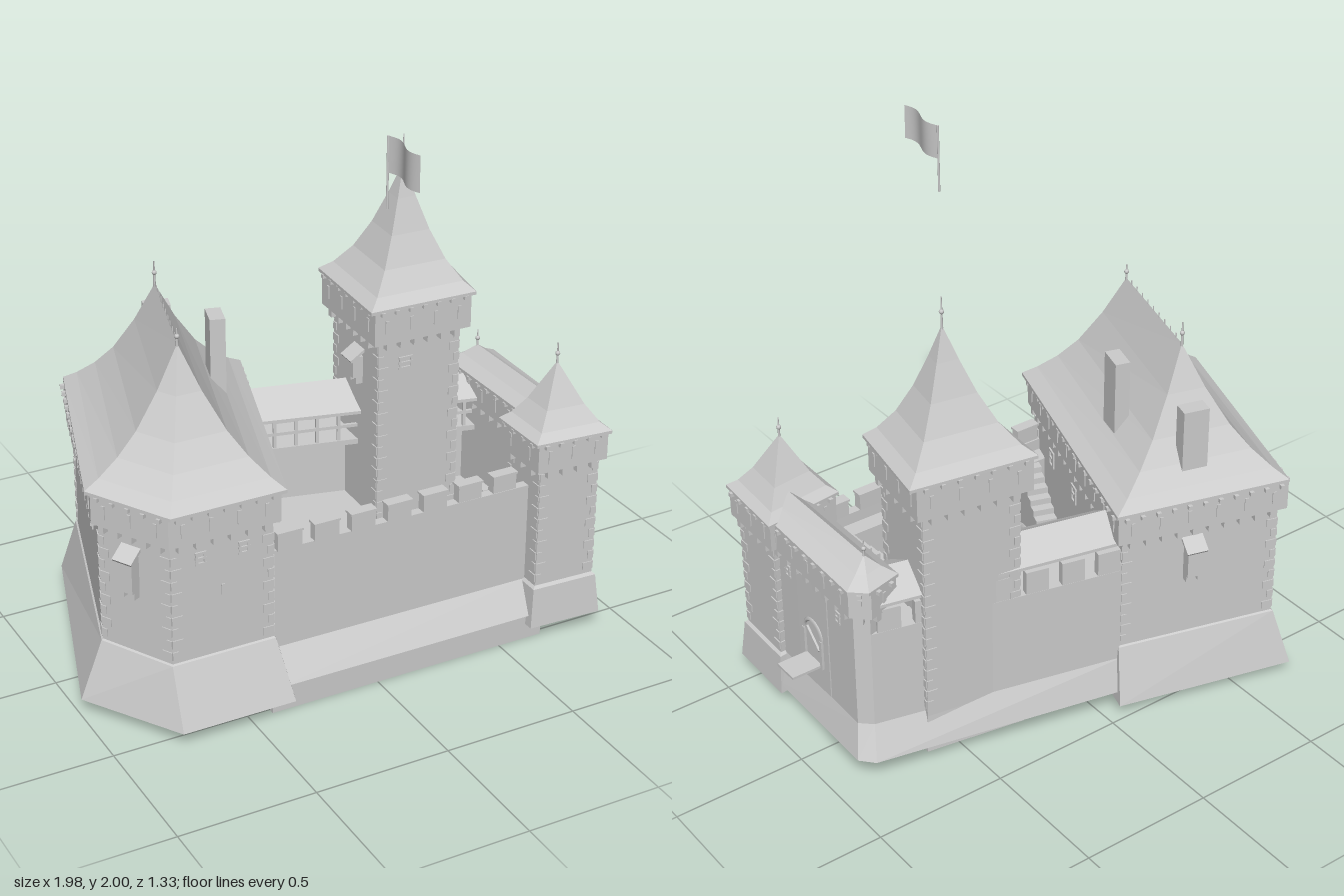
import * as THREE from 'three';

const stone = new THREE.MeshStandardMaterial({ color: 0xcccccc, side: THREE.DoubleSide });
stone.name = 'pale grey stone';

export function createModel() {
  const root = new THREE.Group();
  root.name = 'castle';
  let parent = root;
  const group = (name) => {
    parent = new THREE.Group();
    parent.name = name;
    root.add(parent);
  };
  const add = (geo, name, x = 0, y = 0, z = 0, ry = 0) => {
    const m = new THREE.Mesh(geo, stone);
    m.name = name;
    m.position.set(x, y, z);
    m.rotation.y = ry;
    parent.add(m);
    return m;
  };
  const box = (name, w, h, d, x, y, z, ry = 0) => add(new THREE.BoxGeometry(w, h, d), name, x, y, z, ry);

  // Faceted loft through plan polygons (clockwise seen from above): rings = [[y, points], ...]
  const loft = (name, rings, top = true, bottom = false) => {
    const pos = [], n = rings[0][1].length;
    const put = (...vs) => vs.forEach(([p, y]) => pos.push(p[0], y, p[1]));
    for (let r = 0; r + 1 < rings.length; r++) {
      const [y0, lo] = rings[r], [y1, hi] = rings[r + 1];
      for (let i = 0; i < n; i++) {
        const j = (i + 1) % n;
        put([lo[j], y0], [lo[i], y0], [hi[i], y1], [lo[j], y0], [hi[i], y1], [hi[j], y1]);
      }
    }
    const cap = ([y, p], up) => {
      for (let i = 1; i + 1 < n; i++) put([p[0], y], [p[up ? i + 1 : i], y], [p[up ? i : i + 1], y]);
    };
    if (top) cap(rings[rings.length - 1], true);
    if (bottom) cap(rings[0], false);
    const g = new THREE.BufferGeometry();
    g.setAttribute('position', new THREE.Float32BufferAttribute(pos, 3));
    g.computeVertexNormals();
    add(g, name);
  };

  // Edge frame: start, unit direction, outward normal, length and turn
  const edge = (poly, i) => {
    const a = poly[i], b = poly[(i + 1) % poly.length];
    const len = Math.hypot(b[0] - a[0], b[1] - a[1]);
    const d = [(b[0] - a[0]) / len, (b[1] - a[1]) / len], n = [d[1], -d[0]];
    return { a, d, n, len, ry: Math.atan2(n[0], n[1]) };
  };
  const offset = (poly, s) => poly.map((p, i) => {
    const m = edge(poly, (i + poly.length - 1) % poly.length).n, n = edge(poly, i).n;
    const k = s / (1 + m[0] * n[0] + m[1] * n[1]);
    return [p[0] + (m[0] + n[0]) * k, p[1] + (m[1] + n[1]) * k];
  });
  const onEdge = (name, poly, i, s, y, w, h, d, out = 0) => {
    const e = edge(poly, i);
    return box(name, w, h, d, e.a[0] + e.d[0] * s + e.n[0] * out, y, e.a[1] + e.d[1] * s + e.n[1] * out, e.ry);
  };
  // Evenly spaced blocks along the chosen edges
  const row = (name, poly, edges, step, y, w, h, d, out = 0) => edges.forEach((i) => {
    const { len } = edge(poly, i), n = Math.max(1, Math.round(len / step));
    for (let k = 0; k < n; k++) onEdge(name, poly, i, len * (k + 0.5) / n, y, w, h, d, out);
  });
  const quoins = (poly, y0, y1) => poly.forEach((_, i) => {
    const { len } = edge(poly, i);
    for (let y = y0, k = 0; y < y1; y += 0.045, k++) {
      const w = k % 2 ? 0.022 : 0.04;
      onEdge('quoin', poly, i, w / 2, y, w, 0.03, 0.006, 0.001);
      onEdge('quoin', poly, i, len - 0.031 + w / 2, y, 0.062 - w, 0.03, 0.006, 0.001);
    }
  });
  // Curved roof: eave polygon drawn in towards one target point per corner
  const roof = (name, eave, targets, profile) => {
    const shrink = (t) => eave.map((p, i) => p.map((v, k) => v * t + targets[i][k] * (1 - t)));
    loft(name, [[profile[0][1] - 0.012, eave], ...profile.map(([t, y]) => [y, shrink(t)])], false, true);
  };
  const gallery = (wall, out, y0, y1, edges) => {
    const p = offset(wall, out);
    loft('gallery', [[y0, p], [y1, p]], true, true);
    row('corbel', wall, edges, 0.06, y0 - 0.012, 0.022, 0.026, out * 2);
    row('galleryBeam', p, edges, 0.06, y1 - 0.012, 0.015, 0.015, 0.02, 0.005);
    row('arrowSlit', p, edges, 0.1, (y0 + y1) / 2, 0.014, 0.05, 0.006, 0.001);
  };
  const finial = (x, y, z, h) => {
    add(new THREE.CylinderGeometry(0.002, 0.005, h, 6), 'finialRod', x, y + h / 2, z);
    add(new THREE.SphereGeometry(0.009, 8, 6), 'finialBall', x, y + h * 0.55, z);
  };
  const frame = (poly, i, s, y, w, h) => {
    [-1, 1].forEach((k) => onEdge('windowJamb', poly, i, s + k * w / 2, y, 0.008, h, 0.01, 0.001));
    [-1, 0, 1].forEach((k) => onEdge('windowRail', poly, i, s, y + k * h / 2, w + 0.012, 0.008, 0.01, 0.001));
  };
  // Small hanging closet with a pent roof
  const bay = (poly, i, s, y, h) => {
    onEdge('bay', poly, i, s, y, 0.06, h, 0.05, 0.015);
    onEdge('bayRoof', poly, i, s, y + h / 2 + 0.012, 0.08, 0.01, 0.08, 0.02).rotateX(0.6);
    [-1, 1].forEach((k) => onEdge('bayBracket', poly, i, s + k * 0.022, y - h / 2 - 0.012, 0.014, 0.03, 0.035, 0.01));
  };

  // Great hall with battered base, floor, hipped roof and chimneys
  group('greatHall');
  const hall = [[-0.655, -0.59], [-0.08, -0.43], [-0.38, 0.47], [-0.76, 0.47], [-0.9, 0.21]];
  const hallFoot = [[-0.7, -0.66], [-0.04, -0.49], [-0.345, 0.565], [-0.77, 0.565], [-0.99, 0.21]];
  loft('hallWalls', [[0.05, hallFoot], [0.265, offset(hall, 0.006)], [0.27, hall], [0.8, hall]]);
  loft('hallFloor', [[0.27, hall]]);
  gallery(hall, 0.025, 0.725, 0.84, [0, 1, 2, 3, 4]);
  quoins(hall, 0.3, 0.7);
  const hallEave = [[-0.67, -0.625], [-0.04, -0.45], [-0.35, 0.515], [-0.775, 0.515], [-0.945, 0.21]];
  const ridgeBack = [-0.455, -0.27], ridgeFront = [-0.595, 0.21];
  roof('hallRoof', hallEave, [ridgeBack, ridgeBack, ridgeFront, ridgeFront, ridgeFront],
    [[1, 0.85], [0.85, 0.885], [0.65, 0.945], [0.45, 1.025], [0.22, 1.155], [0, 1.31]]);
  for (let k = 0; k <= 10; k++) box('ridgeSpike', 0.003, 0.025, 0.003, -0.595 + 0.014 * k, 1.313, 0.21 - 0.048 * k);
  finial(-0.455, 1.3, -0.27, 0.095);
  finial(-0.595, 1.3, 0.21, 0.065);
  [[-0.305, -0.105, 1.23, 0.055, 0.1, -0.28], [-0.38, -0.43, 1.16, 0.095, 0.06, -0.27]].forEach(([x, z, y, w, d, ry]) => {
    box('chimney', w, y - 0.85, d, x, (y + 0.85) / 2, z, ry);
  });
  bay(hall, 3, 0.16, 0.58, 0.13);
  bay(hall, 0, 0.33, 0.59, 0.12);
  [0.11, 0.27].forEach((s) => frame(hall, 2, s, 0.65, 0.03, 0.04));
  onEdge('arrowSlit', hall, 2, 0.19, 0.51, 0.012, 0.04, 0.006, 0.001);
  [0.2, 0.45, 0.7].forEach((s) => frame(hall, 4, s, 0.62, 0.035, 0.04));
  [0.25, 0.5, 0.75].forEach((s) => frame(hall, 1, s, 0.6, 0.04, 0.06));

  // Tall watchtower
  group('tallTower');
  const tall = [[0.29, -0.335], [0.645, -0.275], [0.605, 0.025], [0.275, 0.02]];
  loft('tallTowerWalls', [[0.05, offset(tall, 0.008)], [0.2, tall], [1.1, tall]]);
  gallery(tall, 0.032, 1.045, 1.18, [0, 1, 2, 3]);
  quoins(tall, 0.25, 1.02);
  roof('tallTowerRoof', [[0.25, -0.385], [0.71, -0.305], [0.645, 0.07], [0.222, 0.06]], Array(4).fill([0.457, -0.14]),
    [[1, 1.185], [0.82, 1.22], [0.58, 1.295], [0.36, 1.4], [0.17, 1.52], [0, 1.64]]);
  finial(0.457, 1.62, -0.14, 0.125);
  frame(tall, 2, 0.22, 0.945, 0.045, 0.04);
  bay(tall, 3, 0.15, 0.9, 0.08);

  // Front corner tower
  group('cornerTower');
  const corner = [[0.635, 0.335], [0.875, 0.315], [0.87, 0.55], [0.633, 0.54]];
  loft('cornerTowerWalls', [[0.06, offset(corner, 0.024)], [0.21, offset(corner, 0.01)], [0.22, corner], [0.75, corner]]);
  gallery(corner, 0.022, 0.685, 0.8, [0, 1, 2, 3]);
  quoins(corner, 0.25, 0.67);
  roof('cornerTowerRoof', [[0.6, 0.315], [0.91, 0.277], [0.895, 0.59], [0.6, 0.565]], Array(4).fill([0.755, 0.435]),
    [[1, 0.803], [0.78, 0.83], [0.5, 0.89], [0.25, 0.965], [0, 1.04]]);
  finial(0.755, 1.02, 0.435, 0.09);

  // Front curtain wall with merlons and wall walk
  group('frontWall');
  const front = [[-0.34, 0.36], [0.64, 0.37], [0.64, 0.47], [-0.4, 0.46]];
  const frontFoot = [front[0], front[1], [0.64, 0.54], [-0.4, 0.535]];
  loft('curtainWall', [[0.1, frontFoot], [0.215, front], [0.55, front]]);
  const parapet = [[-0.38, 0.425], [0.64, 0.435], front[2], front[3]];
  loft('parapet', [[0.55, parapet], [0.595, parapet]]);
  for (let x = -0.315; x < 0.62; x += 0.142) {
    box('merlon', 0.093, 0.065, 0.035, x, 0.625, 0.449);
    box('merlonCap', 0.1, 0.008, 0.043, x, 0.658, 0.449);
  }
  box('foundation', 1.09, 0.1, 0.02, 0.13, 0.05, 0.515);

  // East gate wall with covered gallery, gate and drawbridge
  group('gateWall');
  const gate = [[0.73, -0.19], [0.825, -0.215], [0.868, -0.175], [0.855, 0.33], [0.73, 0.33]];
  const gateFoot = [[0.73, -0.23], [0.855, -0.265], [0.9, -0.215], [0.89, 0.33], [0.73, 0.33]];
  loft('gateWalls', [[0.09, gateFoot], [0.215, gate], [0.7, gate]]);
  gallery(gate, 0.02, 0.68, 0.79, [0, 1, 2, 4]);
  const hip = [0.785, -0.13], gableEnd = [0.785, 0.34];
  roof('gateRoof', [[0.7, -0.205], [0.84, -0.24], [0.895, -0.19], [0.88, 0.34], [0.7, 0.34]],
    [hip, hip, hip, gableEnd, gableEnd], [[1, 0.795], [0.5, 0.825], [0, 0.865]]);
  finial(0.785, 0.85, -0.13, 0.075);
  box('gatePanel', 0.012, 0.44, 0.19, 0.862, 0.44, 0.09);
  add(new THREE.TorusGeometry(0.055, 0.008, 4, 16, Math.PI), 'gateArch', 0.869, 0.44, 0.09, Math.PI / 2);
  [-1, 1].forEach((k) => box('gateJamb', 0.016, 0.12, 0.014, 0.869, 0.38, 0.09 + k * 0.055));
  box('drawbridge', 0.12, 0.01, 0.1, 0.93, 0.328, 0.09);
  box('gateBrace', 0.008, 0.014, 0.1, 0.872, 0.42, 0.09).rotateX(-0.75);
  [0.1, 0.43].forEach((s) => frame(gate, 2, s, 0.61, 0.025, 0.04));

  // Back curtain wall with gabled walkway
  group('backWall');
  const back = [[-0.1, -0.435], [0.825, -0.215], [0.74, -0.13], [-0.12, -0.335]];
  const backFoot = [[-0.1, -0.47], [0.855, -0.265], back[2], back[3]];
  loft('backWalls', [[0.09, backFoot], [0.215, back], [0.6, back]]);
  row('merlon', back, [0], 0.14, 0.64, 0.085, 0.1, 0.03, -0.016);
  roof('walkwayRoof', [[-0.09, -0.425], [0.8, -0.225], [0.76, 0.01], [-0.13, -0.215]],
    [[-0.11, -0.33], [0.79, -0.12], [0.79, -0.12], [-0.11, -0.33]], [[1, 0.715], [0, 0.795]]);
  const deck = [[-0.1, -0.4], [0.74, -0.2], [0.72, -0.03], [-0.14, -0.235]];
  loft('walkwayDeck', [[0.57, deck], [0.59, deck]], true, true);
  row('walkwayPost', deck, [2], 0.08, 0.65, 0.012, 0.13, 0.012, -0.01);
  onEdge('walkwayRail', deck, 2, 0.44, 0.645, 0.86, 0.012, 0.012, -0.01);

  // Courtyard floor level with the gate, well and stairs
  group('courtyard');
  loft('yardFloor', [[0.325, [[-0.14, -0.36], [0.78, -0.15], [0.74, 0.37], [-0.36, 0.38]]]]);
  const ring = [[0.042, 0], [0.06, 0], [0.06, 0.08], [0.066, 0.085], [0.066, 0.095], [0.042, 0.095], [0.042, 0]];
  add(new THREE.LatheGeometry(ring.map((p) => new THREE.Vector2(...p)), 20), 'well', -0.085, 0.3, 0.24);
  for (let k = 1; k <= 10; k++) box('stairStep', 0.08, 0.024 * k, 0.035, -0.145 - 0.0105 * k, 0.325 + 0.012 * k, 0.033 * k, -0.32);
  for (let k = 1; k <= 6; k++) box('sideStep', 0.034, 0.038 * k, 0.06, 0.326 + 0.034 * k, 0.325 + 0.019 * k, 0.335);

  // Pole with waving flag
  group('flag');
  add(new THREE.CylinderGeometry(0.004, 0.004, 0.25, 8), 'flagPole', 0.045, 1.875, 0.46);
  const cloth = new THREE.PlaneGeometry(0.205, 0.125, 16, 1).rotateY(-Math.PI / 2);
  const p = cloth.attributes.position;
  for (let i = 0; i < p.count; i++) p.setX(i, 0.014 * Math.sin((p.getZ(i) + 0.1025) * 30));
  cloth.computeVertexNormals();
  add(cloth, 'flagCloth', 0.045, 1.9375, 0.5625);
  return root;
}
